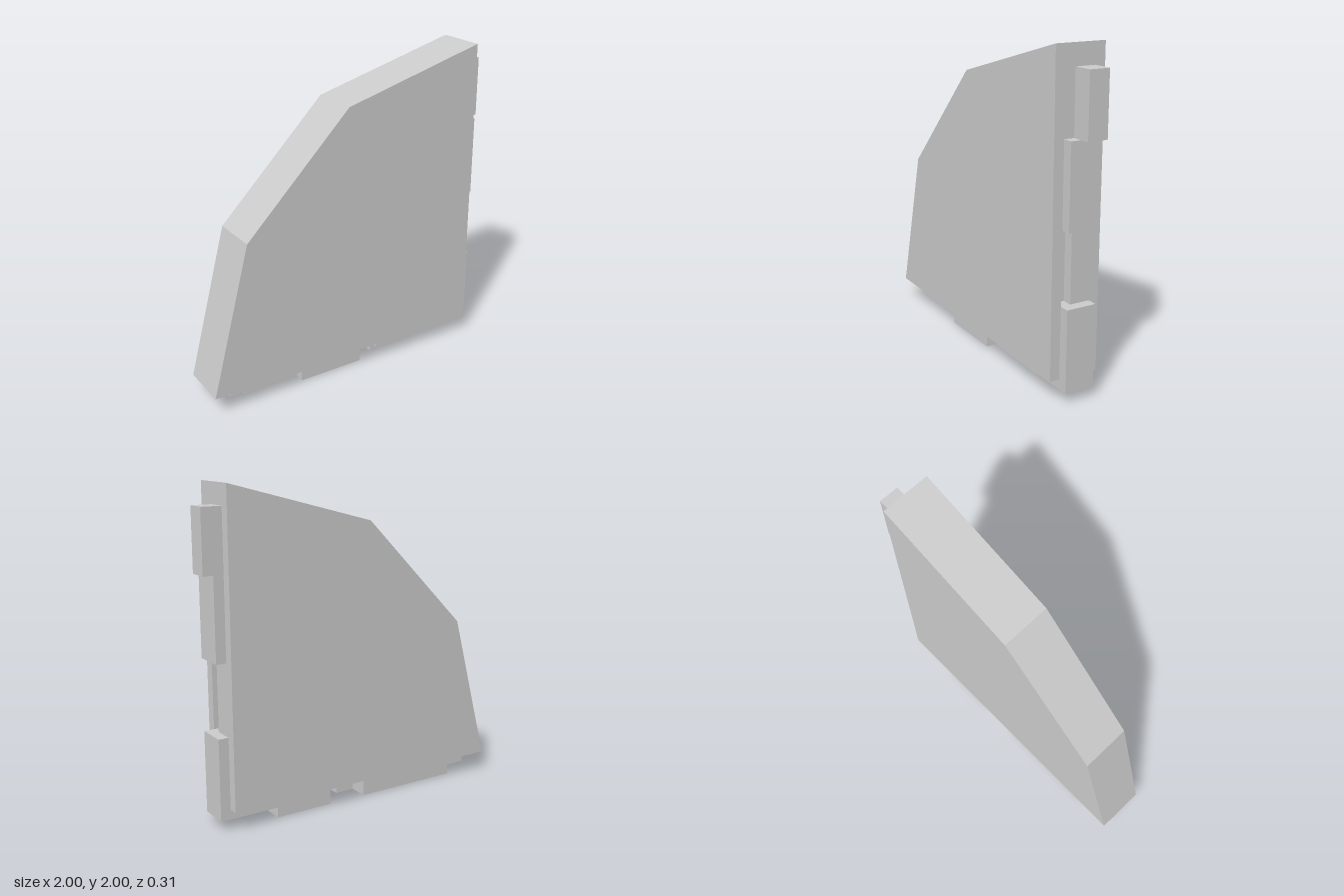
import * as THREE from 'three';

const U = 1 / 32; // layout module: all parts snap to this grid
const mat = new THREE.MeshStandardMaterial({ color: 0xcccccc, flatShading: true });

export function createModel() {
  const model = new THREE.Group();

  // Flat plate layer between two depths
  const layer = (name, points, z0, z1) => {
    const shape = new THREE.Shape(points.map(([x, y]) => new THREE.Vector2(x, y)));
    const geo = new THREE.ExtrudeGeometry(shape, { depth: z1 - z0, bevelEnabled: false });
    geo.translate(0, 0, z0);
    const mesh = new THREE.Mesh(geo, mat);
    mesh.name = name;
    model.add(mesh);
  };

  // Box given by its limits
  const block = (name, x0, x1, y0, y1, z0, z1) => {
    const mesh = new THREE.Mesh(new THREE.BoxGeometry(x1 - x0, y1 - y0, z1 - z0), mat);
    mesh.name = name;
    mesh.position.set((x0 + x1) / 2, (y0 + y1) / 2, (z0 + z1) / 2);
    model.add(mesh);
  };

  // Depths: plate face, tongue face, and the split between half-depth tongues
  const zFace = 5 * U, zTab = 3 * U, zSplit = U;
  const edge = 0.875, foot = 0.125;

  // Faceted quarter plate; the middle layer has a slot in its straight side
  const outline = [[edge, 2], [-0.0625, 1.75], [-0.75, 1.0625], [-1, foot], [edge, foot]];
  const slot = [[edge, 0.5625], [edge - 0.0625, 0.5625], [edge - 0.0625, 1], [edge, 1]];
  layer('plateFront', outline, zTab, zFace);
  layer('plateSlotLayer', [...outline, ...slot], zSplit, zTab);
  layer('plateBack', outline, -zFace, zSplit);

  // Tongues along the upright side
  block('upperSideTab', edge, 1, 1.5, 1.875, -zTab, zSplit);
  block('middleSideRail', edge, 0.9375, 1, 1.5, -zTab, zTab);
  block('lowerSideRail', edge, 0.9375, 0.0625, 0.5625, -zTab, zTab);

  // Rails and tongues along the bottom
  block('bottomRailLeft', 0.1875, edge, 0.0625, foot, -zTab, zTab);
  block('bottomTabLeft', 0.1875, 0.5625, 0, 0.0625, -zTab, zSplit);
  block('bottomRailRightFront', -0.875, 0.0625, 0.0625, foot, zSplit, zTab);
  block('bottomRailRightBack', -0.875, -0.0625, 0.0625, foot, -zTab, zSplit);
  block('bottomTabRightFront', -0.375, 0.0625, 0, 0.0625, zSplit, zTab);
  block('bottomTabRightBack', -0.75, -0.0625, 0, 0.0625, -zTab, zSplit);

  return model;
}
